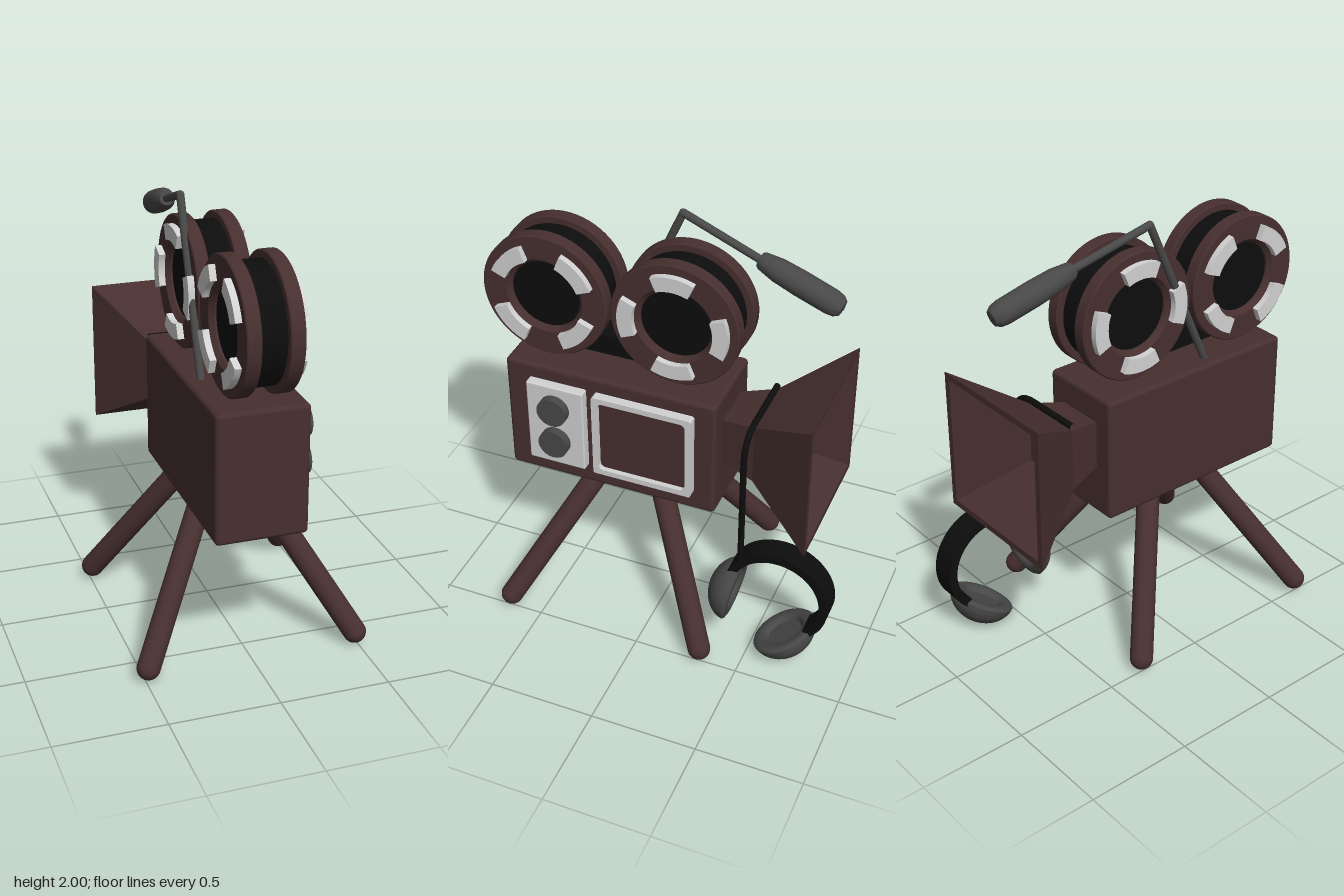
import * as THREE from 'three';
import { toCreasedNormals } from 'three/addons/utils/BufferGeometryUtils.js';
import { RoundedBoxGeometry } from 'three/addons/geometries/RoundedBoxGeometry.js';

const mat = (name, color) => {
  const m = new THREE.MeshStandardMaterial({ color });
  m.name = name;
  return m;
};

export function createModel() {
  const brown = mat('brown', 0x472f2f);
  const white = mat('offWhite', 0xd2d2d2);
  const grey = mat('darkGrey', 0x484848);
  const black = mat('black', 0x0d0d0d);

  const model = new THREE.Group();
  model.name = 'filmCamera';
  const V = (x, y, z) => new THREE.Vector3(x, y, z);
  const UP = V(0, 1, 0);

  const add = (name, geo, material, x = 0, y = 0, z = 0, parent = model) => {
    const mesh = new THREE.Mesh(geo, material);
    mesh.name = name;
    mesh.position.set(x, y, z);
    parent.add(mesh);
    return mesh;
  };
  const sideGroup = (name, x, y, z) => {
    // local x runs to the back, local z to the model's left
    const g = new THREE.Group();
    g.name = name;
    g.position.set(x, y, z);
    g.rotation.y = Math.PI / 2;
    model.add(g);
    return g;
  };
  const lathe = (pts, segs = 48) =>
    toCreasedNormals(new THREE.LatheGeometry(pts.map(p => new THREE.Vector2(...p)), segs), 0.6);
  const extrude = (shape, depth, curveSegments = 24) =>
    new THREE.ExtrudeGeometry(shape, { depth, curveSegments, bevelEnabled: false });
  const arcShape = (r0, r1, a0, a1) => {
    const s = new THREE.Shape();
    s.absarc(0, 0, r1, a0, a1, false);
    s.absarc(0, 0, r0, a1, a0, true);
    s.closePath();
    return s;
  };
  const roundRect = (Type, w, h, r) => {
    const s = new Type();
    [[1, 1, 0], [-1, 1, 1], [-1, -1, 2], [1, -1, 3]].forEach(([sx, sy, q]) =>
      s.absarc(sx * (w / 2 - r), sy * (h / 2 - r), r, q * Math.PI / 2, (q + 1) * Math.PI / 2, false));
    s.closePath();
    return s;
  };
  const capsule = (name, a, b, r, material) => {
    const dir = b.clone().sub(a);
    const mid = a.clone().add(b).multiplyScalar(0.5);
    const mesh = add(name, new THREE.CapsuleGeometry(r, dir.length(), 8, 24), material, mid.x, mid.y, mid.z);
    mesh.quaternion.setFromUnitVectors(UP, dir.normalize());
  };

  // Body
  add('body', new RoundedBoxGeometry(0.42, 0.6, 1.02, 3, 0.02), brown, 0, 0.95, 0.24);

  // Legs
  for (const sx of [-1, 1]) {
    for (const sz of [-1, 1]) {
      capsule('leg', V(sx * 0.485, 0.06, 0.172 + sz * 0.485), V(sx * 0.125, 0.69, 0.172 + sz * 0.145), 0.053, brown);
    }
  }

  // Control panel with two knobs
  add('controlPanel', new RoundedBoxGeometry(0.06, 0.43, 0.28, 2, 0.008), white, 0.225, 0.965, 0.49);
  for (const y of [0.885, 1.065]) {
    const knob = add('knob', new THREE.CylinderGeometry(0.072, 0.072, 0.05, 40), grey, 0.27, y, 0.49);
    knob.rotation.z = -Math.PI / 2;
  }

  // Framed door
  const door = sideGroup('door', 0.2, 0.965, 0.068);
  const frame = roundRect(THREE.Shape, 0.48, 0.43, 0.012);
  frame.holes.push(roundRect(THREE.Path, 0.425, 0.375, 0.025));
  add('doorFrame', extrude(frame, 0.055, 6), white, 0, 0, 0, door);
  add('doorPanel', extrude(roundRect(THREE.Shape, 0.43, 0.38, 0.027), 0.03, 6), brown, 0, 0, 0, door);

  // Lens hood: rectangular sections down the outside, round the rim, back inside
  const sections = [
    [-0.25, 0.112, 0.112], [-0.43, 0.155, 0.15], [-0.745, 0.34, 0.34],
    [-0.745, 0.31, 0.31], [-0.45, 0.13, 0.125], [-0.45, 0, 0],
  ];
  const corners = [[1, 1], [-1, 1], [-1, -1], [1, -1]];
  const pos = [], idx = [];
  sections.forEach(([z, w, h], i) => corners.forEach(([cx, cy], k) => {
    pos.push(cx * w, cy * h, z);
    if (i === sections.length - 1) return;
    const a = i * 4 + k, b = i * 4 + (k + 1) % 4;
    idx.push(a, a + 4, b, b, a + 4, b + 4);
  }));
  let hood = new THREE.BufferGeometry();
  hood.setAttribute('position', new THREE.Float32BufferAttribute(pos, 3));
  hood.setIndex(idx);
  hood = hood.toNonIndexed();
  hood.computeVertexNormals();
  add('lensHood', hood, brown, 0, 1.005, 0);

  // Film reels
  const discGeo = lathe([
    [0.165, -0.0325], [0.295, -0.0325], [0.3, -0.0275], [0.3, 0.0275], [0.295, 0.0325],
    [0.185, 0.0325], [0.165, 0.012], [0.165, -0.0325],
  ], 64).rotateX(Math.PI / 2);
  const coreGeo = new THREE.CylinderGeometry(0.265, 0.265, 0.13, 64).rotateX(Math.PI / 2);
  const hubGeo = new THREE.CylinderGeometry(0.167, 0.167, 0.19, 48).rotateX(Math.PI / 2);
  const segGeo = extrude(arcShape(0.187, 0.257, -0.4, 0.4), 0.035);
  for (const [z, turn] of [[0.578, Math.PI / 4], [-0.04, 0]]) {
    const reel = sideGroup('reel', 0, 1.568, z);
    add('filmRoll', coreGeo, black, 0, 0, 0, reel);
    add('reelHub', hubGeo, black, 0, 0, 0, reel);
    for (const s of [-1, 1]) {
      const disc = add('reelDisc', discGeo, brown, 0, 0, s * 0.0925, reel);
      if (s < 0) disc.rotation.x = Math.PI;
      for (let k = 0; k < 4; k++) {
        const seg = add('reelInlay', segGeo, white, 0, 0, s > 0 ? 0.12 : -0.155, reel);
        seg.rotation.z = turn + k * Math.PI / 2;
      }
    }
  }
  add('filmBridge', new THREE.BoxGeometry(0.12, 0.1, 0.5), black, 0, 1.338, 0.27);

  // Microphone on a bent boom
  const knee = V(-0.127, 1.978, 0.02), neck = V(-0.075, 1.862, -0.35), tip = V(-0.03, 1.738, -0.738);
  capsule('boomPost', V(-0.14, 1.23, 0.345), knee, 0.018, grey);
  capsule('boomArm', knee, neck, 0.018, grey);
  const mic = add('microphone', lathe([
    [0, 0], [0.032, 0], [0.04, 0.012], [0.053, 0.09], [0.057, 0.2], [0.056, 0.35],
    [0.05, 0.385], [0.036, 0.405], [0, 0.412],
  ], 32), grey, neck.x, neck.y, neck.z);
  mic.quaternion.setFromUnitVectors(UP, tip.clone().sub(neck).normalize());

  // Cable over the hood, hanging down to the headphones
  const cable = new THREE.CurvePath();
  cable.add(new THREE.LineCurve3(V(-0.155, 1.172, -0.428), V(0.13, 1.172, -0.428)));
  cable.add(new THREE.CubicBezierCurve3(V(0.13, 1.172, -0.428), V(0.22, 1.172, -0.428), V(0.272, 1.13, -0.428), V(0.272, 1.03, -0.428)));
  cable.add(new THREE.LineCurve3(V(0.272, 1.03, -0.428), V(0.272, 0.43, -0.428)));
  add('cable', new THREE.TubeGeometry(cable, 80, 0.015, 10), black);

  // Headphones
  const phones = sideGroup('headphones', 0.285, 0, 0);
  const band = toCreasedNormals(extrude(arcShape(0.208, 0.25, -0.85, 2.9), 0.115, 48), 0.6);
  add('headband', band, black, 0.62, 0.355, -0.07, phones);
  const cupProfile = [[0, 0.025], [0.085, 0.025], [0.095, 0.008], [0.11, 0], [0.135, 0], [0.15, 0.006]];
  for (let i = 0; i <= 10; i++) {
    const a = 0.1 + (Math.PI / 2 - 0.1) * i / 10;
    cupProfile.push([i === 10 ? 0 : 0.156 * Math.cos(a), 0.127 * Math.sin(a)]);
  }
  const cupGeo = lathe(cupProfile);
  for (const [u, y, du, dy] of [[0.418, 0.303, -0.985, 0.17], [0.653, 0.132, 0.47, -0.883]]) {
    const cup = add('earCup', cupGeo, grey, u, y, 0, phones);
    cup.quaternion.setFromUnitVectors(UP, V(du, dy, 0).normalize());
  }

  return model;
}
